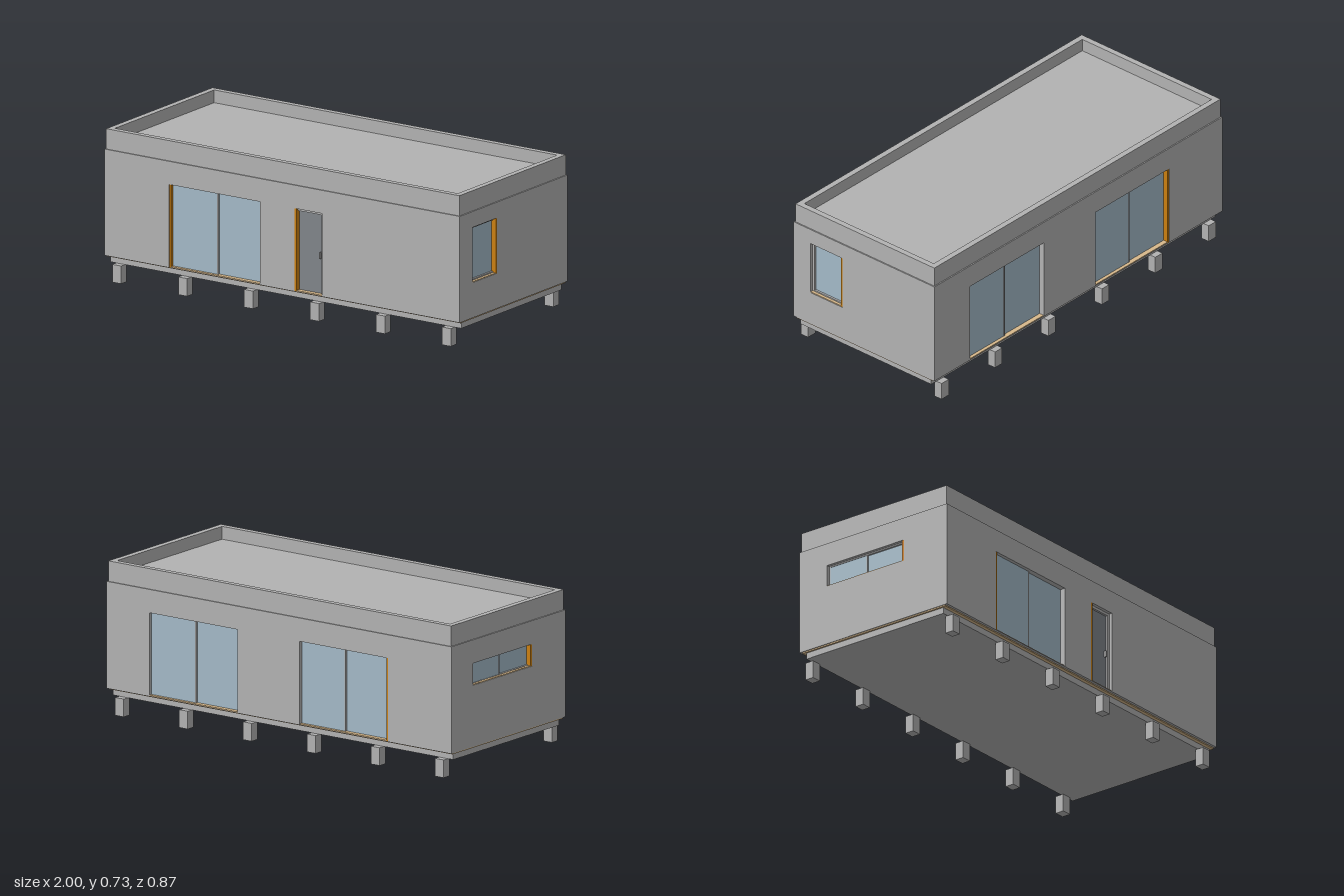
import * as THREE from 'three';

const mat = (name, color) => {
  const m = new THREE.MeshStandardMaterial({ color });
  m.name = name;
  return m;
};

export function createModel() {
  const grey = mat('concrete grey', 0xb2b2b2);
  const glass = mat('pale blue glass', 0xa3b9c7);
  const doorGrey = mat('door grey', 0x80858a);
  const orange = mat('orange jamb', 0xcc8010);
  const tan = mat('tan timber', 0xd8b98c);

  const model = new THREE.Group();
  model.name = 'modularHouse';

  // Box given by its extents on each axis
  const box = (parent, name, material, [x0, x1], [y0, y1], [z0, z1]) => {
    const mesh = new THREE.Mesh(new THREE.BoxGeometry(x1 - x0, y1 - y0, z1 - z0), material);
    mesh.position.set((x0 + x1) / 2, (y0 + y1) / 2, (z0 + z1) / 2);
    mesh.name = name;
    parent.add(mesh);
    return mesh;
  };
  const rect = (Kind, x0, x1, y0, y1) => new Kind([
    [x0, y0], [x1, y0], [x1, y1], [x0, y1],
  ].map(([x, y]) => new THREE.Vector2(x, y)));

  const BOTTOM = 0.121, TOP = 0.63, THICK = 0.06, HX = 1, HZ = 0.433;

  // Feet, floor slab and timber floor layer
  for (let i = 0; i < 6; i++) {
    const x = -0.93 + i * 0.371;
    for (const s of [-1, 1]) {
      const z = s * 0.411;
      box(model, 'foot', grey, [x - 0.025, x + 0.025], [0, 0.085], [z - 0.022, z + 0.022]);
    }
  }
  box(model, 'floorSlab', grey, [-0.987, 0.987], [0.085, 0.115], [-0.402, 0.402]);
  box(model, 'floorLayer', tan, [-0.996, 0.996], [0.115, BOTTOM], [-0.42, 0.42]);

  // Fills one opening; z = 0 is the outer wall face, panels sit behind it
  const fillOpening = (wall, o) => {
    const g = new THREE.Group();
    g.name = o.door ? 'door' : 'window';
    wall.add(g);
    let [u0, u1] = o.u;
    const [y0, y1] = o.y;
    // Coloured jamb on one side
    if (o.jamb) {
      const j = o.jamb < 0 ? [u0, u0 + 0.01] : [u1 - 0.01, u1];
      box(g, 'jamb', orange, j, [y0, y1], [-0.05, -0.001]);
      if (o.jamb < 0) u0 += 0.01; else u1 -= 0.01;
    }
    box(g, 'sill', tan, [u0, u1], [y0, y0 + 0.004], [-0.05, -0.002]);
    // Frame strips round the pane
    const f = o.frame;
    if (f) {
      const depth = [-0.05, -0.016];
      box(g, 'frameTop', grey, [u0, u1], [y1 - f, y1], depth);
      if (!o.door) box(g, 'frameBottom', grey, [u0, u1], [y0 + 0.004, y0 + f], depth);
      if (o.jamb >= 0) box(g, 'frameSide', grey, [u0, u0 + f], [y0, y1], depth);
      if (o.jamb <= 0) box(g, 'frameSide', grey, [u1 - f, u1], [y0, y1], depth);
    }
    // Panes, the first of a pair running in front of the second
    const n = o.panes || 1, w = (u1 - u0) / n;
    for (let i = 0; i < n; i++) {
      const front = n > 1 && i === 0 ? -0.018 : -0.026;
      box(g, o.door ? 'doorLeaf' : 'pane', o.door ? doorGrey : glass,
        [u0 + i * w, u0 + (i + 1) * w], [y0, y1], [-0.055, front]);
    }
    if (n > 1) {
      const m = u0 + w;
      box(g, 'mullion', grey, [m - 0.002, m + 0.003], [y0, y1], [-0.05, -0.016]);
    }
    if (o.door) box(g, 'handle', grey, [u1 - 0.026, u1 - 0.02], [0.295, 0.325], [-0.03, -0.014]);
  };

  // Wall with openings, built facing +z and then turned into place
  const addWall = (name, half, dist, turn, openings) => {
    const wall = new THREE.Group();
    wall.name = name;
    const shape = rect(THREE.Shape, -half, half, BOTTOM, TOP);
    openings.forEach((o) => shape.holes.push(rect(THREE.Path, ...o.u, ...o.y)));
    const geo = new THREE.ExtrudeGeometry(shape, { depth: THICK, bevelEnabled: false });
    geo.translate(0, 0, -THICK);
    const panel = new THREE.Mesh(geo, grey);
    panel.name = 'wallPanel';
    wall.add(panel);
    openings.forEach((o) => fillOpening(wall, o));
    wall.rotation.y = turn;
    wall.position.set(Math.sin(turn) * dist, 0, Math.cos(turn) * dist);
    model.add(wall);
  };

  const tall = [0.123, 0.519];
  addWall('frontWall', HX, HZ, 0, [
    { u: [-0.635, -0.123], y: tall, panes: 2, jamb: -1 },
    { u: [0.07, 0.225], y: tall, jamb: -1, frame: 0.013, door: true },
  ]);
  addWall('backWall', HX, HZ, Math.PI, [
    { u: [-0.752, -0.24], y: tall, panes: 2, jamb: 0 },
    { u: [0.12, 0.632], y: tall, panes: 2, jamb: 1 },
  ]);
  addWall('rightWall', HZ - THICK, HX, Math.PI / 2, [
    { u: [-0.33, -0.132], y: [0.289, 0.554], jamb: 1, frame: 0.01 },
  ]);
  addWall('leftWall', HZ - THICK, HX, -Math.PI / 2, [
    { u: [-0.27, 0.18], y: [0.413, 0.518], panes: 2, jamb: 1, frame: 0.006 },
  ]);

  // Roof deck with a raised parapet around it
  box(model, 'roofDeck', grey, [-0.97, 0.97], [0.6, 0.666], [-0.405, 0.405]);
  const ring = rect(THREE.Shape, -0.994, 0.994, -0.427, 0.427);
  ring.holes.push(rect(THREE.Path, -0.965, 0.965, -0.398, 0.398));
  const ringGeo = new THREE.ExtrudeGeometry(ring, { depth: 0.727 - TOP, bevelEnabled: false });
  ringGeo.rotateX(-Math.PI / 2);
  const parapet = new THREE.Mesh(ringGeo, grey);
  parapet.position.y = TOP;
  parapet.name = 'parapet';
  model.add(parapet);

  return model;
}
